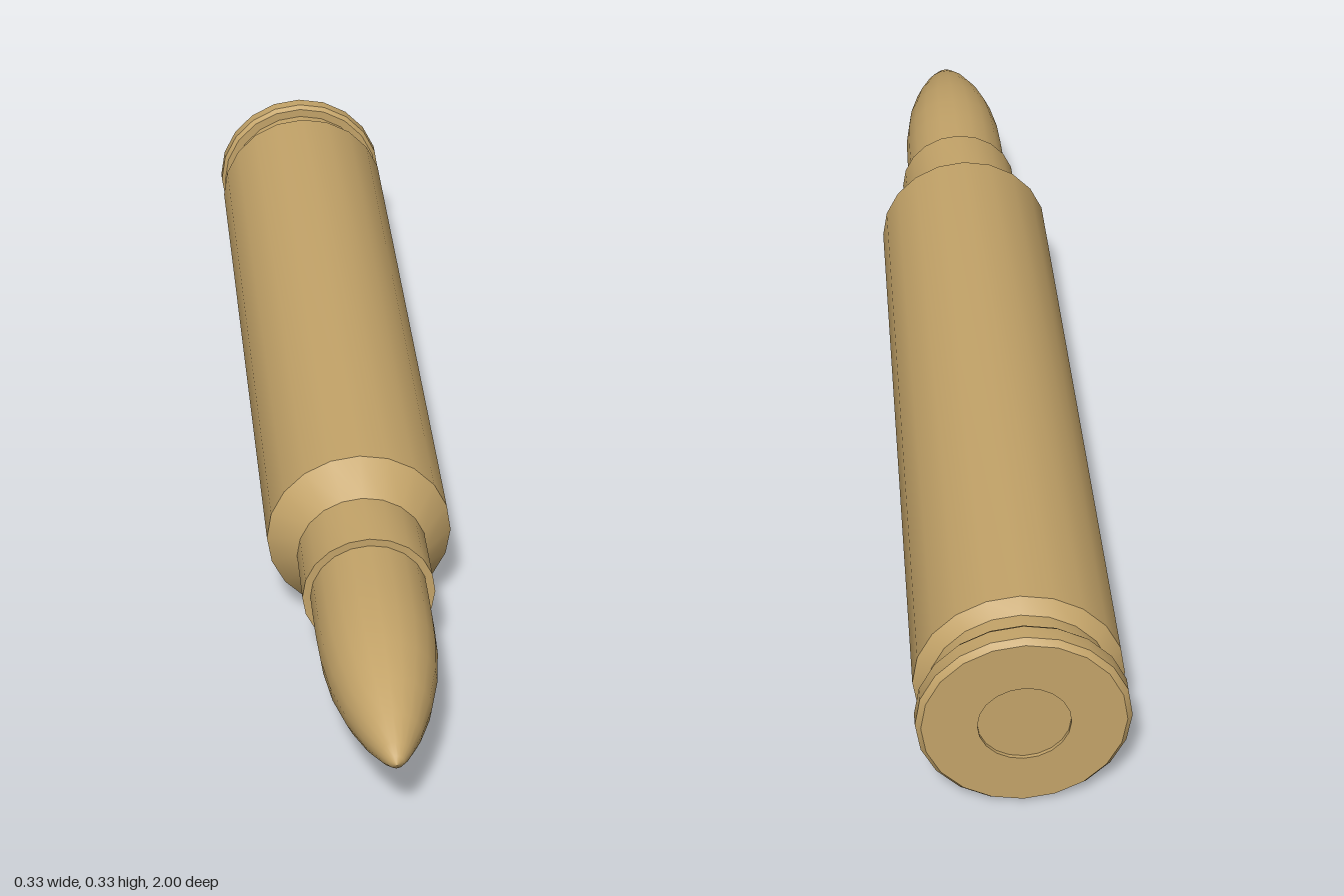
import * as THREE from 'three';
import { toCreasedNormals } from 'three/addons/utils/BufferGeometryUtils.js';

const SIDES = 20;
const AXIS_HEIGHT = 0.169;

export function createModel() {
  const group = new THREE.Group();
  const brass = new THREE.MeshStandardMaterial({ color: 0xc4a469 });

  // Turns a profile of [radius, z] pairs, listed back to front, around the long axis
  function turned(name, profile, crease) {
    let geometry = new THREE.LatheGeometry(profile.map(([r, z]) => new THREE.Vector2(r, z)), SIDES);
    geometry.rotateX(Math.PI / 2);
    if (crease) geometry = toCreasedNormals(geometry, crease);
    const mesh = new THREE.Mesh(geometry, brass);
    mesh.name = name;
    mesh.position.y = AXIS_HEIGHT;
    group.add(mesh);
  }

  // Slightly sunken disc in the middle of the base
  turned('baseDisc', [[0, -0.994], [0.072, -0.994]]);

  // Rim with bevelled edges, then the groove in front of it
  turned('rim', [
    [0.072, -0.994], [0.072, -1], [0.158, -1], [0.1665, -0.991],
    [0.1665, -0.966], [0.16, -0.957], [0.144, -0.957],
  ], 0.5);
  turned('groove', [[0.144, -0.957], [0.144, -0.915], [0.1655, -0.896]], 0.5);

  // Long, gently tapering body with shoulder, neck and mouth
  turned('body', [
    [0.1655, -0.896], [0.157, 0.38], [0.11, 0.437], [0.11, 0.557], [0.096, 0.557],
  ], 0.5);

  // Smooth pointed nose seated in the neck
  turned('nose', [
    [0.097, 0.5], [0.097, 0.6], [0.0965, 0.66], [0.094, 0.727], [0.085, 0.8],
    [0.068, 0.87], [0.046, 0.93], [0.024, 0.974], [0.012, 0.992], [0, 1],
  ]);

  return group;
}
